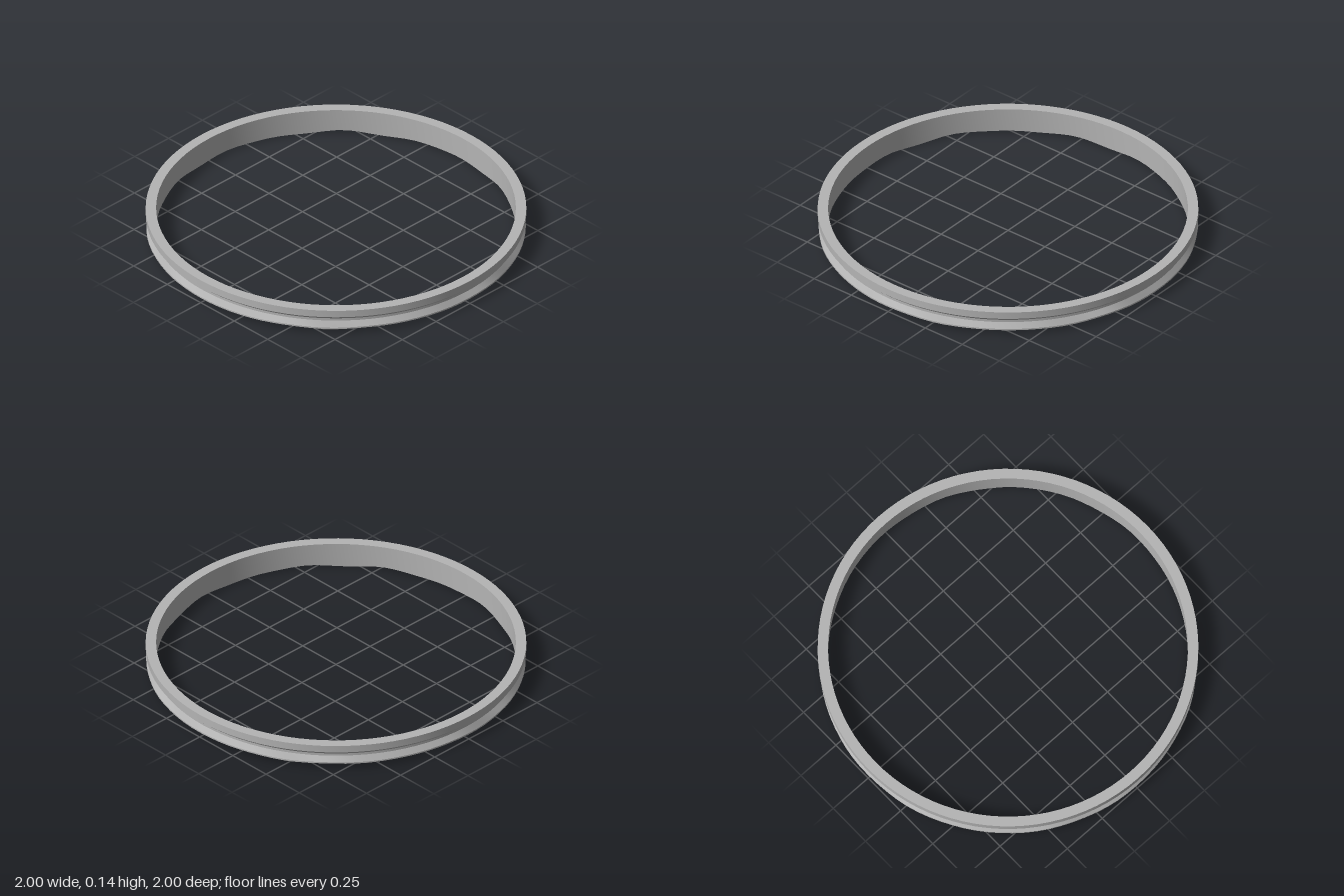
import * as THREE from 'three';
import { toCreasedNormals } from 'three/addons/utils/BufferGeometryUtils.js';

export function createModel() {
  const model = new THREE.Group();
  model.name = 'groovedRing';
  const metal = new THREE.MeshStandardMaterial({ color: 0xb4b4b4 });
  metal.name = 'grey metal';

  // Closed cross-section [radius, height]: worn foot, groove, upright rim, bore
  const profile = [
    [0.945, 0.008], [0.965, 0.008], [0.997, 0.026], [0.997, 0.034],
    [0.976, 0.064], [0.976, 0.078], [0.986, 0.094], [1, 0.1],
    [1, 0.14], [0.945, 0.14], [0.945, 0.008],
  ].map(([r, y]) => new THREE.Vector2(r, y));
  const ring = new THREE.LatheGeometry(profile, 96);

  // Uneven wear around the lower edge; whole frequencies keep the seam closed
  const p = ring.attributes.position;
  for (let i = 0; i < p.count; i++) {
    const x = p.getX(i), y = p.getY(i), z = p.getZ(i);
    if (y > 0.05) continue;
    const a = Math.atan2(x, z);
    const wave = 0.6 * Math.sin(11 * a + 1) + 0.4 * Math.sin(17 * a);
    const outer = Math.hypot(x, z) > 0.98;
    p.setY(i, Math.max(0, y + wave * (outer ? 0.004 : 0.008)));
    if (outer) {
      const s = 1 + 0.003 * wave;
      p.setX(i, x * s);
      p.setZ(i, z * s);
    }
  }

  const mesh = new THREE.Mesh(toCreasedNormals(ring, 0.35), metal);
  mesh.name = 'ringBand';
  model.add(mesh);
  return model;
}
